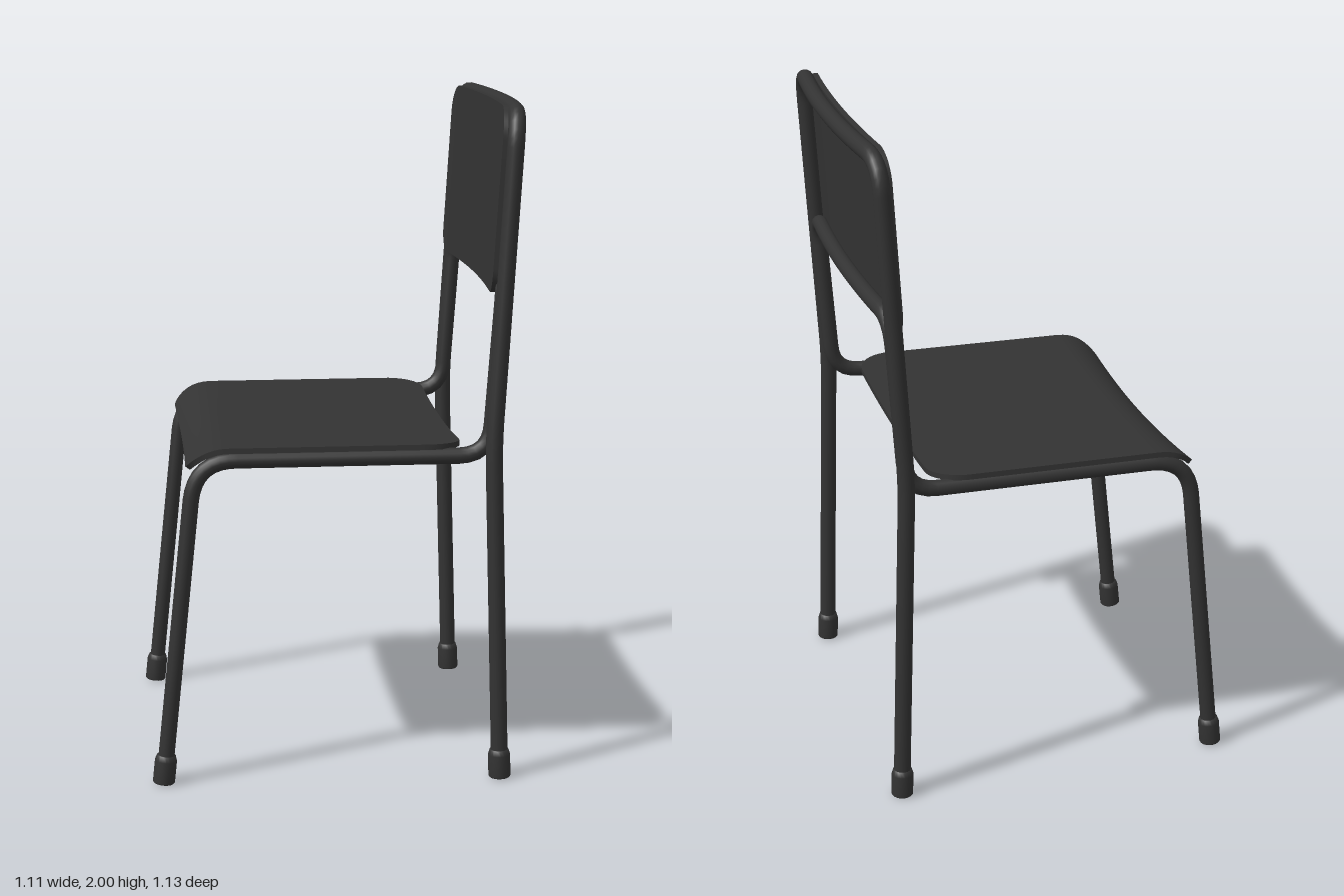
import * as THREE from 'three';

const V = (x, y, z) => new THREE.Vector3(x, y, z);
const material = new THREE.MeshStandardMaterial({ color: 0x333333 });

function addMesh(group, name, geometry) {
  const mesh = new THREE.Mesh(geometry, material);
  mesh.name = name;
  group.add(mesh);
  return mesh;
}

// Bent tube: a polyline whose corners are rounded; each entry is [point, bend length]
function bentTube(corners, radius) {
  const path = new THREE.CurvePath();
  let from = corners[0][0];
  for (let i = 1; i < corners.length - 1; i++) {
    const [p, d] = corners[i];
    const toward = (q) => p.clone().add(q.clone().sub(p).setLength(d));
    const a = toward(corners[i - 1][0]);
    const b = toward(corners[i + 1][0]);
    path.add(new THREE.LineCurve3(from, a));
    path.add(new THREE.QuadraticBezierCurve3(a, p, b));
    from = b;
  }
  path.add(new THREE.LineCurve3(from, corners[corners.length - 1][0]));
  return new THREE.TubeGeometry(path, 220, radius, 14);
}

// Symmetric tube: one side's corners, a bowed middle corner, then the mirrored side
function mirroredTube(side, middle, radius) {
  const other = side.map(([p, d]) => [V(p.x, p.y, -p.z), d]).reverse();
  return bentTube([...side, middle, ...other], radius);
}

// Thin rounded rectangle bent along surface(length, width); r0 and r1 round the two ends
function bentSheet(length, width, r0, r1, thickness, surface) {
  const geo = new THREE.BoxGeometry(2, 2, 2, 40, 1, 28);
  const pos = geo.attributes.position;
  const e = 0.001;
  for (let i = 0; i < pos.count; i++) {
    // closer rows near the ends, where the corners are
    const s = (Math.sin(pos.getX(i) * Math.PI / 2) + 1) / 2 * length;
    let half = width / 2;
    if (s < r0) half -= r0 - Math.sqrt(Math.max(0, r0 * r0 - (r0 - s) ** 2));
    const k = s - (length - r1);
    if (k > 0) half -= r1 - Math.sqrt(Math.max(0, r1 * r1 - k * k));
    const w = pos.getZ(i) * half;
    const p = surface(s, w);
    const ds = surface(s + e, w).sub(surface(s - e, w));
    const dw = surface(s, w + e).sub(surface(s, w - e));
    const n = dw.cross(ds).normalize();
    p.addScaledVector(n, pos.getY(i) * thickness / 2);
    pos.setXYZ(i, p.x, p.y, p.z);
  }
  geo.computeVertexNormals();
  return geo;
}

export function createModel() {
  const chair = new THREE.Group();
  chair.name = 'chair';

  // Rear legs, back posts and top rail in one tube
  addMesh(chair, 'backFrame', mirroredTube([
    [V(0.475, 0.02, 0.531), 0],
    [V(0.444, 1.02, 0.528), 0.08],
    [V(0.502, 1.975, 0.516), 0.1],
  ], [V(0.549, 1.975, 0), 0.4], 0.025));

  // Front legs, seat rails, inner posts and lower back rail in one tube
  addMesh(chair, 'seatFrame', mirroredTube([
    [V(-0.525, 0.02, 0.495), 0],
    [V(-0.425, 0.98, 0.495), 0.12],
    [V(0.436, 0.98, 0.495), 0.09],
    [V(0.474, 1.51, 0.495), 0.09],
  ], [V(0.506, 1.51, 0), 0.38], 0.024));

  // Seat: slightly dished, rolled down at the front edge
  const seatSurface = (s, z) => {
    const x = s - 0.447;
    const d = Math.max(0, -0.33 - x);
    const drop = 0.15 - Math.sqrt(0.15 ** 2 - d * d);
    const dish = 0.024 * (1 - (z / 0.515) ** 2);
    return V(x + 0.01 * (d / 0.12) * (1 - (z / 0.515) ** 2), 1.011 - drop - dish, z);
  };
  addMesh(chair, 'seat', bentSheet(0.807, 1.03, 0.07, 0.11, 0.016, seatSurface));

  // Backrest: leaning with the posts and curved around the sitter
  const backSurface = (s, z) =>
    V(0.443 + 0.06 * s + 0.022 * (1 - (z / 0.5) ** 2), 1.452 + s, -z);
  addMesh(chair, 'backrest', bentSheet(0.538, 1.0, 0.07, 0.09, 0.016, backSurface));

  // Foot caps, set along each leg
  const profile = [[0, 0], [0.03, 0], [0.033, 0.004], [0.033, 0.07], [0.028, 0.086], [0.02, 0.086]]
    .map(([r, y]) => new THREE.Vector2(r, y));
  const foot = new THREE.LatheGeometry(profile, 18);
  for (const side of [1, -1]) {
    const front = addMesh(chair, side > 0 ? 'leftFrontFoot' : 'rightFrontFoot', foot);
    front.position.set(-0.527, 0.004, 0.495 * side);
    front.rotation.z = -Math.atan(0.1 / 0.96);
    const rear = addMesh(chair, side > 0 ? 'leftRearFoot' : 'rightRearFoot', foot);
    rear.position.set(0.475, 0.002, 0.531 * side);
    rear.rotation.z = Math.atan(0.031);
  }
  return chair;
}
